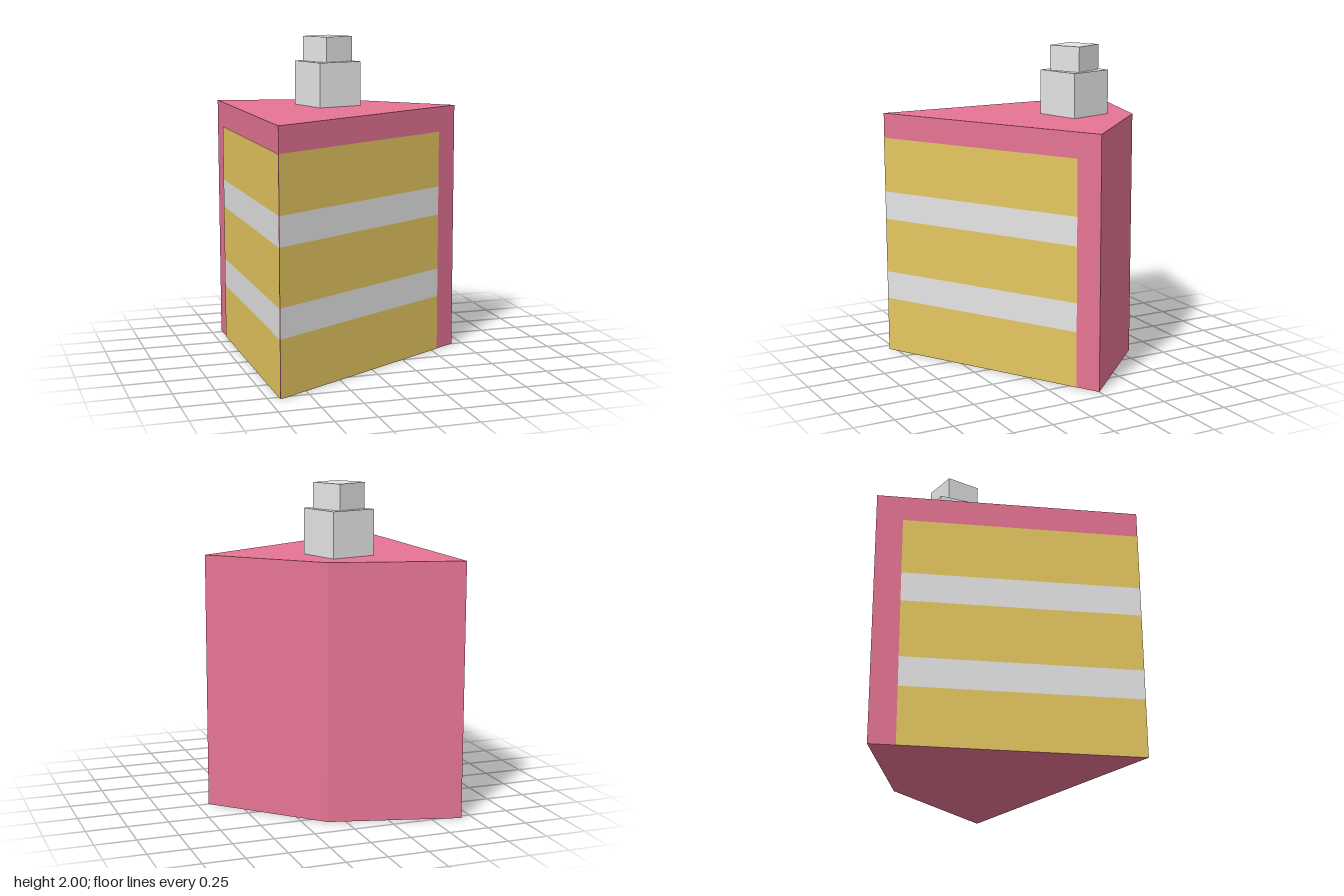
import * as THREE from 'three';

const HEIGHT = 1.565;
const CUT = 0.9; // share of each cut face that shows the layers

function material(name, color) {
  const m = new THREE.MeshStandardMaterial({ color });
  m.name = name;
  return m;
}

export function createModel() {
  const frosting = material('pink frosting', 0xe67493);
  const sponge = material('yellow sponge', 0xe6c761);
  const cream = material('white cream', 0xe5e5e5);

  const cake = new THREE.Group();
  cake.name = 'cakeSlice';

  const add = (name, geometry, mat, parent = cake) => {
    const mesh = new THREE.Mesh(geometry, mat);
    mesh.name = name;
    parent.add(mesh);
    return mesh;
  };

  // Wedge body, as an outline of x and z corners raised upwards
  const tip = new THREE.Vector2(-0.68, 0.785);
  const backCorner = new THREE.Vector2(-0.68, -0.785);
  const outerCorner = new THREE.Vector2(0.105, -0.577);
  const sideCorner = new THREE.Vector2(0.68, 0);
  const outline = [tip, sideCorner, outerCorner, backCorner].map((p) => new THREE.Vector2(p.x, -p.y));
  const body = new THREE.ExtrudeGeometry(new THREE.Shape(outline), { depth: HEIGHT, bevelEnabled: false });
  body.rotateX(-Math.PI / 2);
  add('frostingBody', body, frosting);

  // Sponge and cream bands on a cut face, running from the tip to the frosting
  const bandEdges = [0, 0.35, 0.53, 0.88, 1.06, 1.408];
  const addLayers = (name, end, angle) => {
    const face = new THREE.Group();
    face.name = name;
    const length = tip.distanceTo(end) * CUT;
    const middle = tip.clone().lerp(end, CUT / 2);
    face.position.set(middle.x, 0, middle.y);
    face.rotation.y = angle;
    for (let i = 0; i < bandEdges.length - 1; i++) {
      const h = bandEdges[i + 1] - bandEdges[i];
      const isCream = i % 2 === 1;
      const band = add(isCream ? 'creamLayer' : 'spongeLayer', new THREE.PlaneGeometry(length, h),
        isCream ? cream : sponge, face);
      band.position.set(0, bandEdges[i] + h / 2, 0.003);
    }
    cake.add(face);
  };
  addLayers('frontCutFace', sideCorner, Math.PI / 6);
  addLayers('sideCutFace', backCorner, -Math.PI / 2);

  // Whipped cream dollop of two turned blocks
  const addBlock = (name, size, bottom, top, angle) => {
    const block = add(name, new THREE.BoxGeometry(size, top - bottom, size), cream);
    block.position.set(-0.082, (bottom + top) / 2, -0.26);
    block.rotation.y = angle;
  };
  addBlock('dollopBase', 0.3, HEIGHT, 1.843, 0.27);
  addBlock('dollopTop', 0.218, 1.843, 2, 0.455);

  return cake;
}
